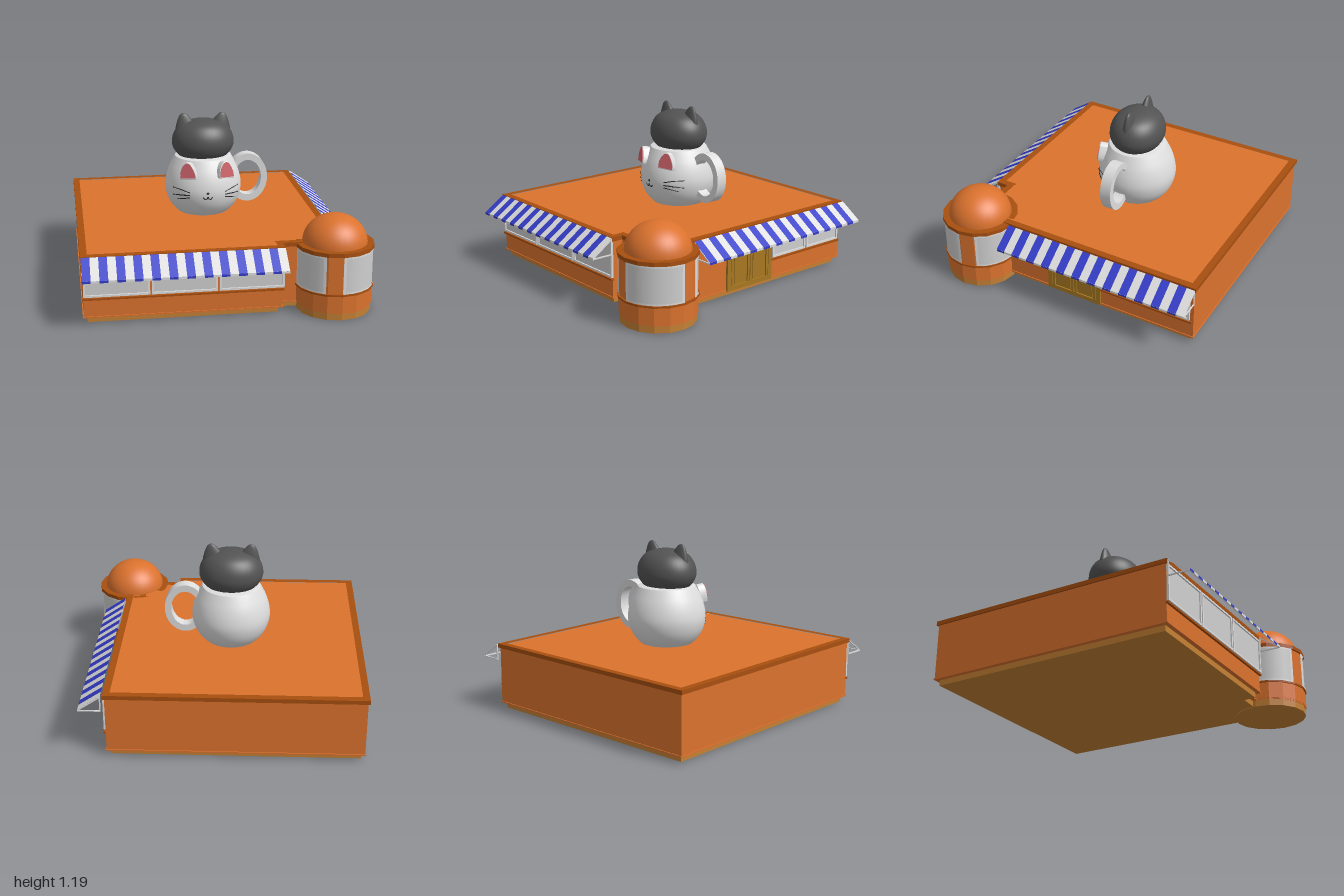
import * as THREE from 'three';
import { toCreasedNormals } from 'three/addons/utils/BufferGeometryUtils.js';

const mat = (name, color, side = THREE.FrontSide) => {
  const m = new THREE.MeshStandardMaterial({ color, side });
  m.name = name;
  return m;
};

export function createModel() {
  const orange = mat('orange', 0xdb722e), brown = mat('brown trim', 0xa84f10);
  const tan = mat('tan plinth', 0xc48034), white = mat('white', 0xdedede);
  const glass = mat('pale glass', 0xcfcfcf), blue = mat('awning blue', 0x343cc8);
  const grey = mat('dark grey', 0x535353), pink = mat('pink', 0xcf636b);
  const wood = mat('door wood', 0xa87822), black = mat('black', 0x262626);

  const model = new THREE.Group();
  const add = (name, geo, material, x = 0, y = 0, z = 0, parent = model) => {
    const m = new THREE.Mesh(geo, material);
    m.name = name;
    m.position.set(x, y, z);
    parent.add(m);
    return m;
  };
  const box = (name, w, h, d, material, x, y, z, parent) =>
    add(name, new THREE.BoxGeometry(w, h, d), material, x, y, z, parent);
  const group = (name, x, y, z, ry = 0) => {
    const g = new THREE.Group();
    g.name = name;
    g.position.set(x, y, z);
    g.rotation.y = ry;
    model.add(g);
    return g;
  };

  // Floor plan of the shop, shrunk inwards by d, with a notch beside the tower
  const plan = (d) => [[-1 + d, -1 + d], [0.756 - d, -1 + d], [0.756 - d, 0.735 - d],
    [0.366 - d, 0.735 - d], [0.366 - d, 0.82 - d], [-0.995 + d, 0.82 - d]]
    .map(([x, z]) => new THREE.Vector2(x, -z));
  const slab = (name, d, y0, y1, material, holeInset) => {
    const shape = new THREE.Shape(plan(d));
    if (holeInset) shape.holes.push(new THREE.Path(plan(holeInset)));
    const geo = new THREE.ExtrudeGeometry(shape, { depth: y1 - y0, bevelEnabled: false });
    add(name, geo.rotateX(-Math.PI / 2), material, 0, y0, 0);
  };
  slab('plinth', 0.037, 0.01, 0.06, tan);
  slab('walls', 0.012, 0.05, 0.46, orange);
  slab('wallFoot', 0.006, 0.05, 0.06, orange);
  slab('cornice', 0, 0.455, 0.484, brown, 0.047);
  slab('roof', 0.04, 0.455, 0.478, orange);

  // Round corner tower
  const tower = group('cornerTower', 0.724, 0, 0.72);
  const SIDES = 16;
  const drum = (name, r, y0, y1, material) =>
    add(name, new THREE.CylinderGeometry(r, r, y1 - y0, SIDES).toNonIndexed(), material, 0, (y0 + y1) / 2, 0, tower)
      .geometry.computeVertexNormals();
  drum('towerPlinth', 0.256, 0.003, 0.055, tan);
  drum('towerWall', 0.255, 0.05, 0.46, orange);
  drum('towerFoot', 0.259, 0.05, 0.06, orange);
  drum('towerLowerWall', 0.262, 0.06, 0.175, orange);
  drum('towerSill', 0.27, 0.175, 0.188, brown);
  drum('towerCornice', 0.268, 0.45, 0.478, brown);
  add('towerDome', new THREE.SphereGeometry(0.222, 32, 12, 0, Math.PI * 2, 0, Math.PI / 2), orange, 0, 0.47, 0, tower)
    .scale.y = 0.9;

  // Curved tower windows; angles run from +x towards +z
  const arc = (name, r, from, to, y0, y1, material) => {
    const rad = Math.PI / 180;
    const geo = new THREE.CylinderGeometry(r, r, y1 - y0, Math.max(1, Math.round((to - from) / 15)), 1, true,
      (90 - to) * rad, (to - from) * rad);
    add(name, geo, material, 0, (y0 + y1) / 2, 0, tower);
  };
  for (const [a, b] of [[0, 90], [115, 175], [-85, -25]]) {
    arc('towerGlass', 0.260, a, b, 0.19, 0.45, glass);
    arc('towerFrameBottom', 0.265, a, b, 0.19, 0.202, white);
    arc('towerFrameTop', 0.265, a, b, 0.438, 0.45, white);
    arc('towerFrameSide', 0.265, a, a + 4, 0.19, 0.45, white);
    arc('towerFrameSide', 0.265, b - 4, b, 0.19, 0.45, white);
  }

  // Framed panel built around its local centre, facing +z
  const panel = (name, parent, x, y, w, h, t, frameMat, fillMat) => {
    box(name + 'Pane', w, h, 0.006, fillMat, x, y, 0.003, parent);
    for (const s of [-1, 1]) {
      box(name + 'Rail', w, t, 0.016, frameMat, x, y + s * (h - t) / 2, 0.008, parent);
      box(name + 'Stile', t, h, 0.016, frameMat, x + s * (w - t) / 2, y, 0.008, parent);
    }
  };

  // Front shop windows and sill
  const front = group('frontWindows', 0, 0, 0.808);
  for (let i = 0; i < 3; i++) panel('window', front, -0.762 + i * 0.452, 0.325, 0.44, 0.25, 0.014, white, glass);
  box('sill', 1.352, 0.012, 0.02, brown, -0.314, 0.185, 0.006, front);

  // Side windows and double door; local x runs towards -z
  const side = group('sideShopfront', 0.744, 0, 0, Math.PI / 2);
  for (const x of [0.455, 0.797]) panel('window', side, x, 0.325, 0.33, 0.25, 0.014, white, glass);
  box('sill', 0.7, 0.012, 0.02, brown, 0.63, 0.185, 0.006, side);
  panel('doorFrame', side, 0.07, 0.212, 0.42, 0.325, 0.033, wood, wood);
  for (const x of [-0.018, 0.158]) {
    panel('doorLeaf', side, x, 0.2, 0.17, 0.28, 0.018, wood, wood);
    box('doorInset', 0.11, 0.22, 0.012, wood, x, 0.2, 0.006, side);
  }

  // Striped awnings: local x along the wall, local z outwards
  const awning = (name, length, x, z, ry) => {
    const g = group(name, x, 0, z, ry);
    const n = 24, w = length / n, out = 0.155, drop = 0.105;
    for (let i = 0; i < n; i++) {
      const m = i % 2 ? white : blue;
      const cloth = new THREE.PlaneGeometry(w, Math.hypot(out, drop)).rotateX(-Math.atan2(out, drop));
      add('stripe', cloth, m, (i + 0.5) * w, 0.48 - drop / 2, out / 2, g);
      add('valance', new THREE.PlaneGeometry(w, 0.016), m, (i + 0.5) * w, 0.367, out + 0.001, g);
    }
    box('frontBar', length, 0.008, 0.008, white, length / 2, 0.365, out - 0.005, g);
    for (const ex of [0.004, length - 0.004]) {
      box('bracketArm', 0.008, 0.008, out, white, ex, 0.365, out / 2, g);
      box('bracketPost', 0.008, 0.11, 0.008, white, ex, 0.42, 0.004, g);
      box('bracketSlope', 0.008, 0.006, 0.18, white, ex, 0.421, out / 2 - 0.003, g).rotation.x = Math.atan2(drop, out);
    }
  };
  awning('frontAwning', 1.355, -0.99, 0.82, 0);
  awning('sideAwning', 1.45, 0.768, 0.45, Math.PI / 2);

  // Cat mug on the roof
  const mug = group('catMug', -0.065, 0, -0.122);
  const profile = [[0.185, 0.478], [0.222, 0.515], [0.258, 0.575], [0.277, 0.65], [0.272, 0.72],
    [0.252, 0.79], [0.224, 0.85], [0.204, 0.888]];
  const curve = new THREE.SplineCurve(profile.map(p => new THREE.Vector2(...p)));
  const outline = [new THREE.Vector2(0, 0.478), ...curve.getPoints(24), new THREE.Vector2(0.19, 0.893), new THREE.Vector2(0, 0.893)];
  add('mugBody', toCreasedNormals(new THREE.LatheGeometry(outline, 48), 0.6), white, 0, 0, 0, mug);

  // Flat-banded oval handle
  const loop = new THREE.Shape().absellipse(0, 0, 0.146, 0.18, 0, Math.PI * 2);
  loop.holes.push(new THREE.Path().absellipse(0, 0, 0.1, 0.131, 0, Math.PI * 2));
  const handle = new THREE.ExtrudeGeometry(loop, { depth: 0.08, bevelEnabled: false, curveSegments: 32 });
  add('mugHandle', toCreasedNormals(handle, 0.6), white, 0.325, 0.71, -0.04, mug);

  // Dark cat-head lid with two pointed ears
  const head = new THREE.SplineCurve([[0.17, 0.885], [0.205, 0.925], [0.225, 0.98], [0.212, 1.05], [0.165, 1.11],
    [0.085, 1.144], [0, 1.153]].map(p => new THREE.Vector2(...p))).getPoints(24);
  add('lid', new THREE.LatheGeometry(head, 40), grey, 0, 0, 0, mug).scale.z = 0.85;
  const earCurve = new THREE.SplineCurve([[0.085, -0.02], [0.078, 0.04], [0.052, 0.1], [0.024, 0.142], [0, 0.152]]
    .map(p => new THREE.Vector2(...p))).getPoints(14);
  for (const s of [-1, 1]) {
    const ear = add('lidEar', new THREE.LatheGeometry(earCurve, 24), grey, s * 0.116, 1.048, -0.003, mug);
    ear.scale.z = 0.5;
    ear.rotation.z = -s * 0.2;
  }

  // Raised white ears with pink faces on the mug front
  const earShape = (k) => {
    const s = new THREE.Shape();
    s.moveTo(-0.055 * k, -0.055 * k);
    s.lineTo(0.058 * k, -0.055 * k);
    s.quadraticCurveTo(0.066 * k, -0.02 * k, 0.022 * k, 0.045 * k);
    s.quadraticCurveTo(0, 0.066 * k, -0.022 * k, 0.05 * k);
    s.quadraticCurveTo(-0.062 * k, 0.01 * k, -0.055 * k, -0.055 * k);
    return s;
  };
  for (const s of [-1, 1]) {
    const ear = new THREE.Group();
    ear.name = 'mugEar';
    ear.position.set(s * 0.134, 0.828, 0.222);
    ear.rotation.set(-0.15, s * 0.42, s * -0.08, 'YXZ');
    mug.add(ear);
    add('earShell', new THREE.ExtrudeGeometry(earShape(1), { depth: 0.045, bevelEnabled: true, bevelSize: 0.004,
      bevelThickness: 0.006, bevelSegments: 2 }), white, 0, 0, -0.035, ear);
    add('earPink', new THREE.ExtrudeGeometry(earShape(0.95), { depth: 0.006, bevelEnabled: false }), pink, 0, 0, 0.014, ear);
  }

  // Face lines laid on the curved mug front
  const onMug = ([x, y]) => {
    let i = 0;
    while (i < profile.length - 2 && profile[i + 1][1] < y) i++;
    const [r0, y0] = profile[i], [r1, y1] = profile[i + 1];
    const r = r0 + (r1 - r0) * (y - y0) / (y1 - y0) + 0.001;
    return new THREE.Vector3(x, y, Math.sqrt(r * r - x * x));
  };
  const line = (name, pts) => add(name, new THREE.TubeGeometry(
    new THREE.CatmullRomCurve3(pts.map(onMug)), 12, 0.0042, 6), black, 0, 0, 0, mug);
  for (const s of [-1, 1]) {
    line('whisker', [[s * 0.125, 0.672], [s * 0.18, 0.686], [s * 0.235, 0.692]]);
    line('whisker', [[s * 0.125, 0.652], [s * 0.18, 0.648], [s * 0.235, 0.638]]);
    line('whisker', [[s * 0.125, 0.634], [s * 0.165, 0.624], [s * 0.205, 0.61]]);
    line('mouth', [[0, 0.648], [s * 0.008, 0.63], [s * 0.022, 0.627], [s * 0.034, 0.643]]);
  }
  const nose = add('nose', new THREE.SphereGeometry(0.011, 12, 8), black, 0, 0.67, 0.276, mug);
  nose.scale.set(1, 0.8, 0.4);

  return model;
}
